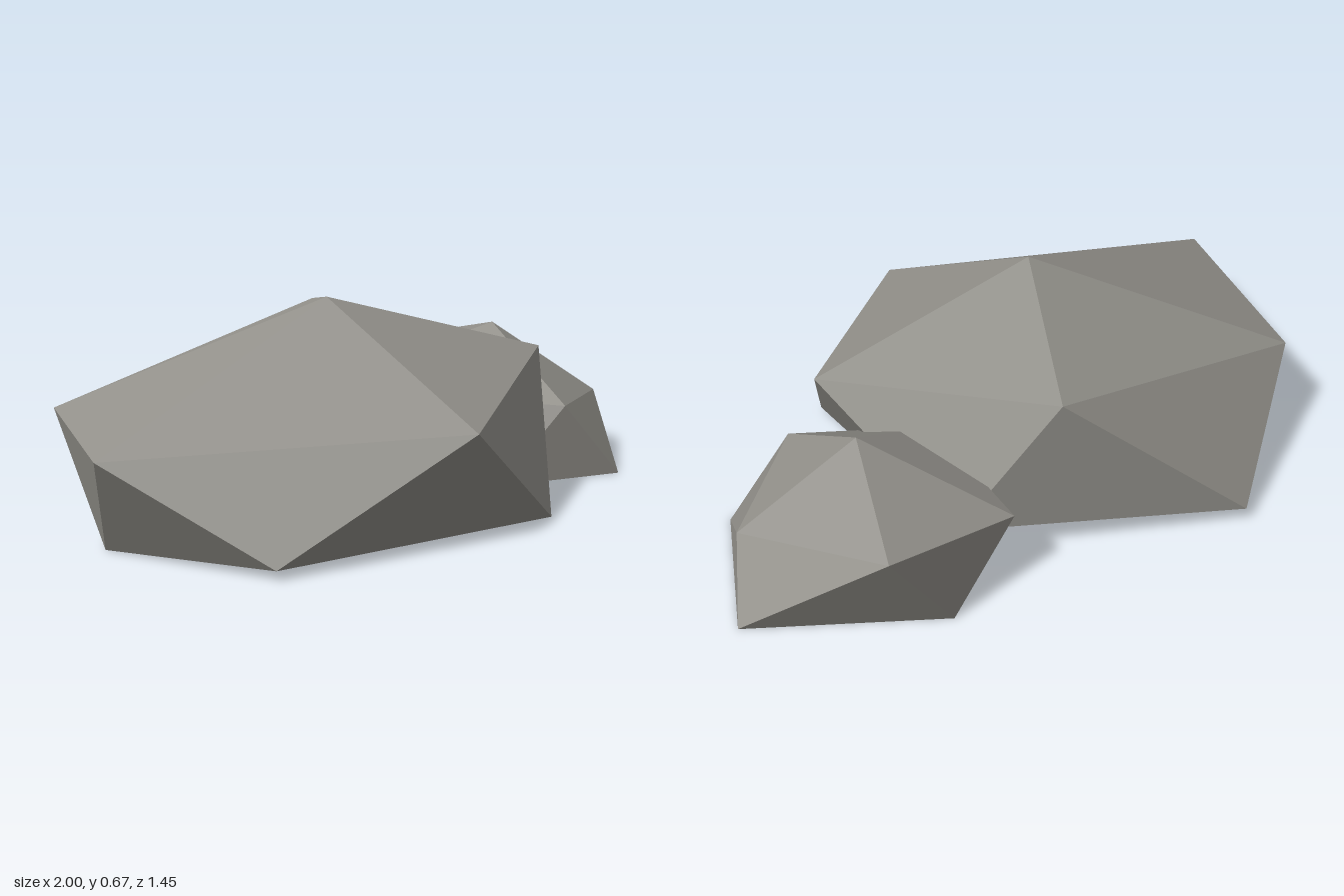
import * as THREE from 'three';

// Faceted stone with twelve corners: a peak, an upper and a lower ring of five
// (both counterclockwise from above, the lower one offset by half a step), and a base.
function stone(name, peak, upper, lower, base, material) {
  const positions = [];
  const face = (...corners) => corners.forEach((c) => positions.push(...c));
  for (let i = 0; i < 5; i++) {
    const j = (i + 1) % 5;
    face(peak, upper[i], upper[j]);
    face(upper[i], lower[i], upper[j]);
    face(upper[j], lower[i], lower[j]);
    face(base, lower[j], lower[i]);
  }
  const geometry = new THREE.BufferGeometry();
  geometry.setAttribute('position', new THREE.Float32BufferAttribute(positions, 3));
  geometry.computeVertexNormals();
  const mesh = new THREE.Mesh(geometry, material);
  mesh.name = name;
  return mesh;
}

export function createModel() {
  const group = new THREE.Group();
  group.name = 'rocks';
  const grey = new THREE.MeshStandardMaterial({ color: 0x94928c, flatShading: true });
  grey.name = 'stone grey';

  // Large slab, slightly undercut at the sides
  group.add(stone('largeRock',
    [-0.18, 0.665, 0.12],
    [[0.56, 0.45, 0.07], [0, 0.547, -0.49], [-0.95, 0.32, -0.2], [-1, 0.32, 0.485], [0.06, 0.35, 0.697]],
    [[0.3, 0.12, -0.4], [-0.59, 0.05, -0.6], [-0.92, 0, 0.27], [-0.56, 0.03, 0.727], [0.4, 0.015, 0.493]],
    [-0.26, 0, 0.1], grey));

  // Small rock with a flat base, leaning into the slab
  group.add(stone('smallRock',
    [0.56, 0.465, -0.275],
    [[0.93, 0.21, -0.24], [0.645, 0.36, -0.727], [0.19, 0.265, -0.57], [0.24, 0.28, -0.09], [0.645, 0.25, 0.1]],
    [[1, 0, -0.41], [0.41, 0, -0.63], [0.21, 0, -0.26], [0.425, 0, 0.08], [0.86, 0, 0.075]],
    [0.58, 0, -0.25], grey));

  return group;
}
